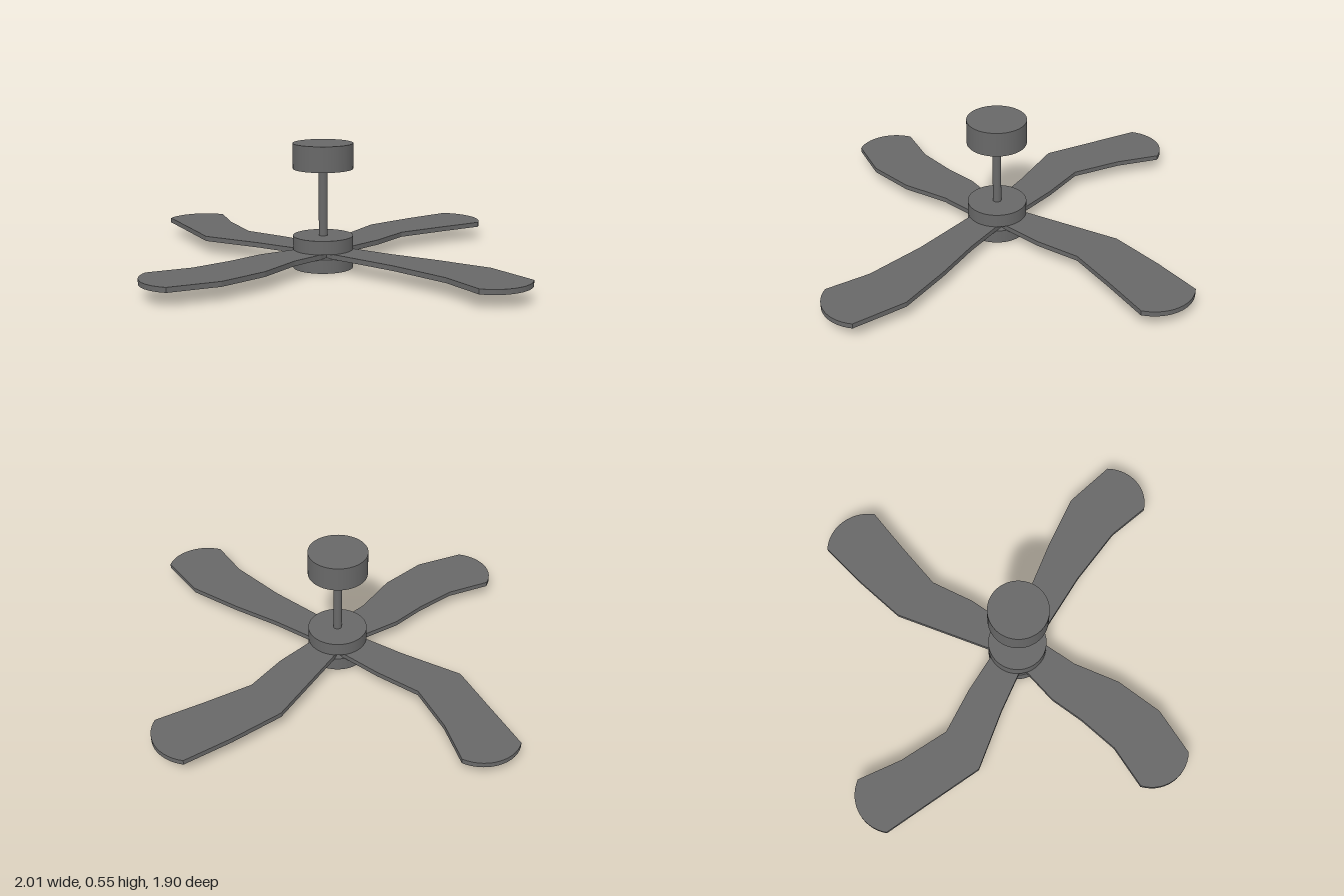
import * as THREE from 'three';

const HUB_X = -0.007, HUB_Z = 0.06, HUB_R = 0.132;

// Each blade in plan (x, z): edge going out to the tip, then edge coming back to the hub.
const BLADES = [
  { out: [[-0.045, 0.03], [-0.059, -0.067], [-0.045, -0.51], [0.053, -0.74], [0.155, -0.944]],
    back: [[0.396, -0.8], [0.278, -0.612], [0.16, -0.414], [0.134, -0.211], [0.086, -0.04], [0.05, 0.05]] },
  { out: [[0.0, -0.01], [0.118, 0.003], [0.299, 0.024], [0.524, 0.035], [0.775, 0.061], [0.995, 0.174]],
    back: [[0.85, 0.404], [0.674, 0.302], [0.406, 0.217], [0.086, 0.147], [0.0, 0.11]] },
  { out: [[0.05, 0.08], [0.043, 0.179], [0.0, 0.329], [-0.016, 0.548], [-0.086, 0.762], [-0.225, 0.939]],
    back: [[-0.439, 0.783], [-0.315, 0.623], [-0.241, 0.447], [-0.193, 0.291], [-0.107, 0.136], [-0.06, 0.06]] },
  { out: [[0.0, 0.12], [-0.123, 0.11], [-0.316, 0.094], [-0.604, 0.088], [-0.797, -0.051], [-0.999, -0.195]],
    back: [[-0.824, -0.398], [-0.679, -0.249], [-0.492, -0.107], [-0.278, -0.078], [-0.086, -0.035], [0.0, 0.0]] },
];

// Circular arc bulging outward from the hub between two tip corners.
function tipArc(a, b, bulge, steps = 14) {
  const p = new THREE.Vector2(...a), q = new THREE.Vector2(...b);
  const mid = p.clone().add(q).multiplyScalar(0.5);
  const chord = q.clone().sub(p);
  const n = new THREE.Vector2(-chord.y, chord.x).normalize();
  if (n.dot(mid) < 0) n.negate();
  const r = (chord.lengthSq() / 4 + bulge * bulge) / (2 * bulge);
  const c = mid.clone().addScaledVector(n, bulge - r);
  const half = Math.asin(chord.length() / (2 * r));
  const u = chord.clone().normalize();
  const points = [];
  for (let i = 1; i < steps; i++) {
    const t = half * (2 * i / steps - 1);
    const v = c.clone().addScaledVector(n, r * Math.cos(t)).addScaledVector(u, r * Math.sin(t));
    points.push([v.x, v.y]);
  }
  return points;
}

function bladeGeometry({ out, back }) {
  const outline = [...out, ...tipArc(out[out.length - 1], back[0], 0.064), ...back];
  const shape = new THREE.Shape(outline.map(([x, z]) => new THREE.Vector2(x, -z)));
  const geometry = new THREE.ExtrudeGeometry(shape, { depth: 0.022, bevelEnabled: false });
  return geometry.rotateX(-Math.PI / 2).translate(0, 0.061, 0);
}

export function createModel() {
  const group = new THREE.Group();
  const grey = new THREE.MeshStandardMaterial({ color: 0x686868 });
  grey.name = 'dark grey';
  const yellow = new THREE.MeshStandardMaterial({ color: 0xdcd600 });
  yellow.name = 'lamp yellow';

  const add = (name, geometry, material) => {
    const mesh = new THREE.Mesh(geometry, material);
    mesh.name = name;
    group.add(mesh);
    return mesh;
  };
  // Upright cylinder on the fan axis between two heights
  const drum = (name, r, y0, y1, material = grey) =>
    add(name, new THREE.CylinderGeometry(r, r, y1 - y0, 64), material)
      .position.set(HUB_X, (y0 + y1) / 2, HUB_Z);

  drum('ceilingCanopy', HUB_R, 0.44, 0.552);
  drum('downRod', 0.019, 0.14, 0.445);
  drum('motorHousing', HUB_R, 0.083, 0.143);
  drum('bladeHub', 0.08, 0.055, 0.085);

  BLADES.forEach((blade, i) => add('blade' + (i + 1), bladeGeometry(blade), grey));

  // Lamp housing: a ring open below, closed above, with a recessed lens
  const ringShape = new THREE.Shape().absarc(0, 0, HUB_R, 0, Math.PI * 2);
  ringShape.holes.push(new THREE.Path().absarc(0, 0, 0.108, 0, Math.PI * 2, true));
  const ring = new THREE.ExtrudeGeometry(ringShape, { depth: 0.061, bevelEnabled: false, curveSegments: 64 });
  add('lampRing', ring.rotateX(-Math.PI / 2), grey).position.set(HUB_X, 0, HUB_Z);
  drum('lampBacking', 0.109, 0.032, 0.061);
  drum('lampLens', 0.108, 0.025, 0.032, yellow);

  return group;
}
